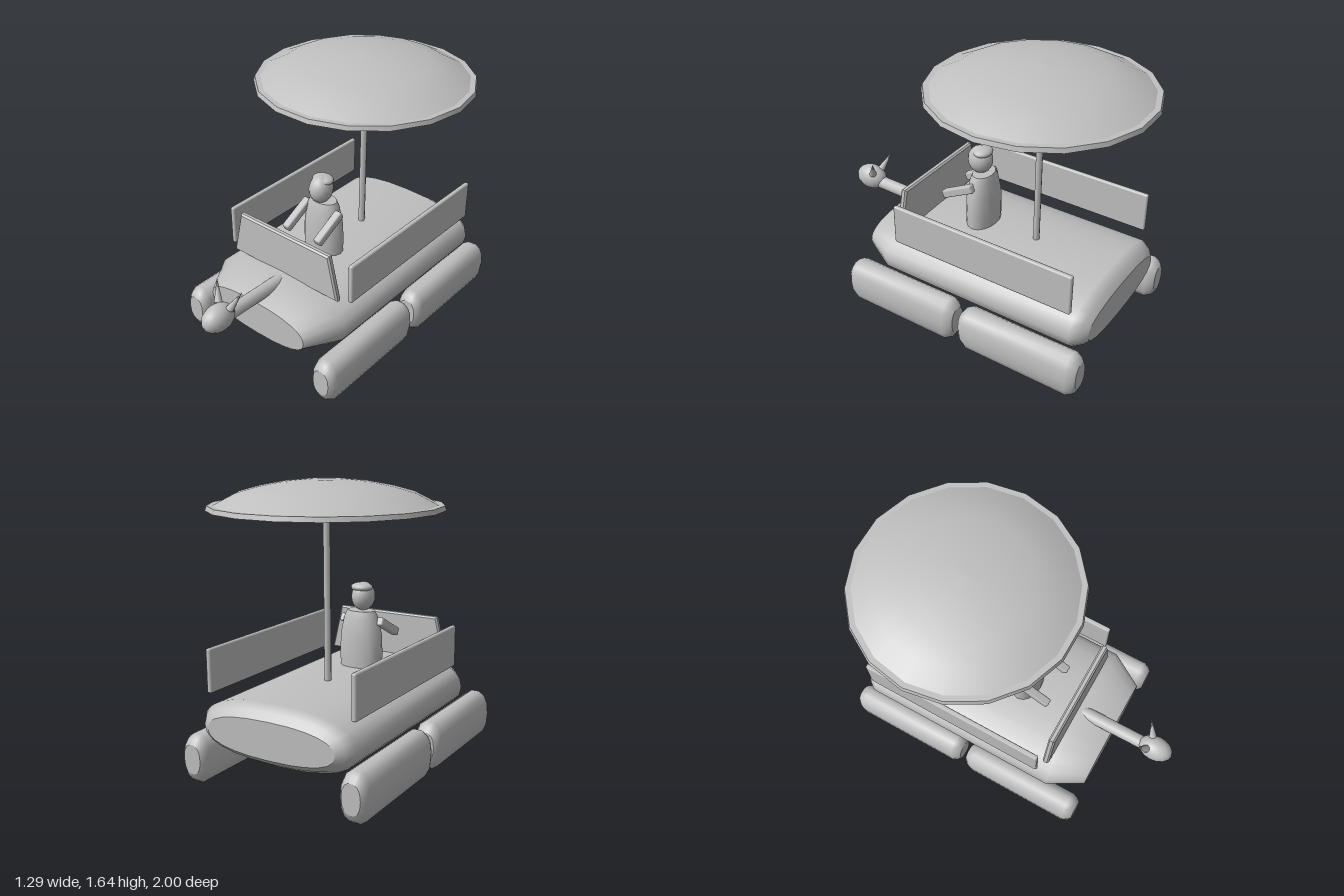
import * as THREE from 'three';
import { RoundedBoxGeometry } from 'three/addons/geometries/RoundedBoxGeometry.js';

const grey = new THREE.MeshStandardMaterial({ color: 0xc0c0c0 });
grey.name = 'plain grey';

// Superellipse loft along z. Each ring is [z, halfWidth, halfHeight, centreY], from back to front, with flat ends.
function loft(rings, sides, power) {
  const pos = [], index = [];
  const addRing = ([z, w, h, y]) => {
    for (let j = 0; j < sides; j++) {
      const a = (j / sides) * Math.PI * 2, c = Math.cos(a), s = Math.sin(a);
      pos.push(w * Math.sign(c) * Math.abs(c) ** (2 / power), y + h * Math.sign(s) * Math.abs(s) ** (2 / power), z);
    }
  };
  rings.forEach(addRing);
  for (let i = 0; i < rings.length - 1; i++) {
    for (let j = 0; j < sides; j++) {
      const k = (j + 1) % sides, a = i * sides + j, b = i * sides + k;
      index.push(a, b, a + sides, b, b + sides, a + sides);
    }
  }
  // End caps keep their own vertices so their edges stay sharp
  const back = rings.length * sides, front = back + sides;
  addRing(rings[0]);
  addRing(rings[rings.length - 1]);
  for (let j = 1; j < sides - 1; j++) {
    index.push(back, back + j + 1, back + j, front, front + j, front + j + 1);
  }
  const g = new THREE.BufferGeometry();
  g.setAttribute('position', new THREE.Float32BufferAttribute(pos, 3));
  g.setIndex(index);
  g.computeVertexNormals();
  return g;
}

export function createModel() {
  const model = new THREE.Group();
  model.name = 'raft';
  const add = (name, geometry, x = 0, y = 0, z = 0, parent = model) => {
    const mesh = new THREE.Mesh(geometry, grey);
    mesh.name = name;
    mesh.position.set(x, y, z);
    parent.add(mesh);
    return mesh;
  };
  const ball = (rx, ry, rz) => new THREE.SphereGeometry(1, 16, 12).scale(rx, ry, rz);
  // Tapered cylinder running from one point to another
  const rod = (name, from, to, r0, r1, sides, parent = model) => {
    const a = new THREE.Vector3(...from), b = new THREE.Vector3(...to), d = b.clone().sub(a);
    const mesh = add(name, new THREE.CylinderGeometry(r1, r0, d.length(), sides), 0, 0, 0, parent);
    mesh.position.copy(a).add(b).multiplyScalar(0.5);
    mesh.quaternion.setFromUnitVectors(new THREE.Vector3(0, 1, 0), d.normalize());
    return mesh;
  };

  // Inflated hull with a flat bow
  add('hull', loft([
    [-0.93, 0.40, 0.105, 0.35], [-0.90, 0.445, 0.14, 0.355], [-0.85, 0.482, 0.172, 0.357],
    [0.40, 0.482, 0.172, 0.357], [0.61, 0.362, 0.112, 0.343],
  ], 24, 2.4));

  // Four floats, two on each side
  const floatGeometry = loft([
    [-0.385, 0.055, 0.085, 0.155], [-0.365, 0.073, 0.12, 0.15], [-0.33, 0.086, 0.143, 0.148],
    [0.33, 0.086, 0.143, 0.148], [0.365, 0.073, 0.12, 0.15], [0.385, 0.055, 0.085, 0.155],
  ], 14, 2.4);
  for (const x of [-0.502, 0.502]) {
    add('frontFloat', floatGeometry, x, 0, 0.245);
    add('rearFloat', floatGeometry, x, 0, -0.565);
    // Side panel above each float
    add('sidePanel', new RoundedBoxGeometry(0.03, 0.25, 1.17, 1, 0.01), Math.sign(x) * 0.455, 0.635, -0.26);
  }

  // Trapezoid windshield
  const b = 0.01;
  const shield = new THREE.Shape([[-0.39, 0.52], [0.39, 0.52], [0.328, 0.78], [-0.328, 0.78]]
    .map(([x, y]) => new THREE.Vector2(x, y)));
  add('windshield', new THREE.ExtrudeGeometry(shield, {
    depth: 0.02, bevelSize: b, bevelThickness: b, bevelSegments: 1,
  }), 0, 0, 0.34);

  // Parasol: pole and domed canopy with a closed underside
  add('parasolPole', new THREE.CylinderGeometry(0.02, 0.02, 1, 8), 0, 1, -0.36);
  const line = (pts) => new THREE.LatheGeometry(pts.map(([r, y]) => new THREE.Vector2(r, y)), 18, Math.PI / 2);
  add('canopyUnderside', line([[0, 1.49], [0.645, 1.49]]), 0, 0, -0.36);
  add('canopyRim', line([[0.645, 1.49], [0.637, 1.516]]), 0, 0, -0.36);
  add('canopyLip', line([[0.637, 1.516], [0.605, 1.516]]), 0, 0, -0.36);
  add('canopyDome', line([[0.605, 1.516], [0.485, 1.578], [0.37, 1.61], [0.235, 1.636], [0.11, 1.648], [0, 1.652]]), 0, 0, -0.36);

  // Figurehead with neck and two horns
  rod('figureheadNeck', [0, 0.49, 0.4], [0, 0.502, 0.84], 0.042, 0.041, 12);
  add('figurehead', ball(0.074, 0.08, 0.107), 0, 0.521, 0.893);
  for (const s of [-1, 1]) {
    rod('horn', [s * 0.045, 0.575, 0.845], [s * 0.096, 0.683, 0.797], 0.024, 0.001, 8);
  }

  // Driver
  const driver = new THREE.Group();
  driver.name = 'driver';
  model.add(driver);
  const body = new THREE.LatheGeometry([[0.13, 0.5], [0.135, 0.6], [0.13, 0.72], [0.108, 0.82], [0.088, 0.862]]
    .map(([r, y]) => new THREE.Vector2(r, y)), 16).scale(1, 1, 0.68);
  add('driverBody', body, 0, 0, 0.01, driver);
  add('driverShoulders', new THREE.CircleGeometry(0.088, 16).rotateX(-Math.PI / 2).scale(1, 1, 0.68), 0, 0.862, 0.01, driver);
  add('driverHead', ball(0.069, 0.086, 0.077), 0, 0.942, 0.034, driver);
  add('driverCap', ball(0.067, 0.028, 0.056), 0, 0.998, 0.016, driver);
  for (const s of [-1, 1]) {
    const arm = add('driverArm', new RoundedBoxGeometry(0.05, 0.05, 0.23, 1, 0.01), s * 0.12, 0.755, 0.11, driver);
    arm.rotation.x = 0.48;
  }
  return model;
}
